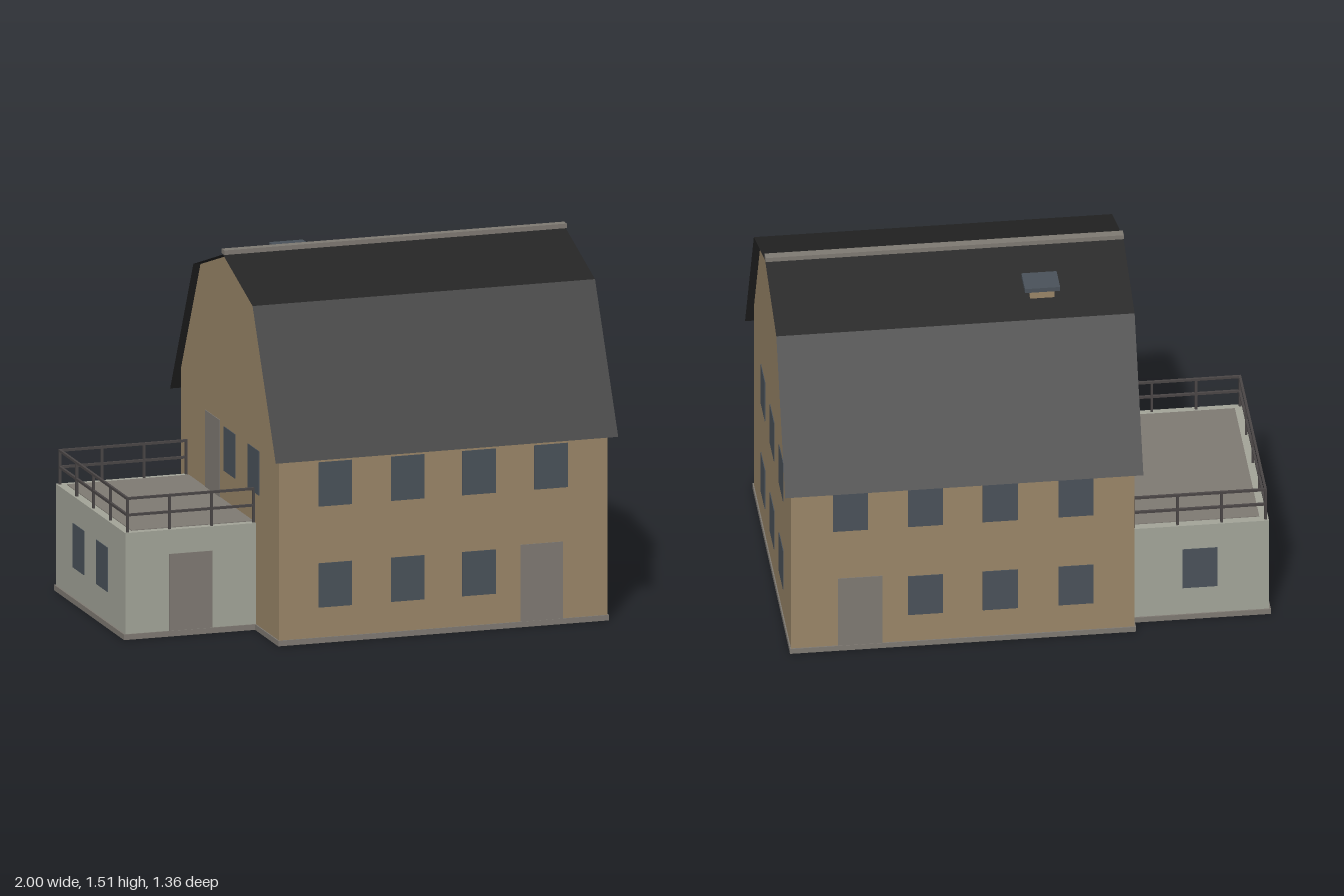
import * as THREE from 'three';

const mat = (name, color, extra = {}) => Object.assign(new THREE.MeshStandardMaterial({ color, ...extra }), { name });

export function createModel() {
  const house = new THREE.Group();
  house.name = 'house';

  const tan = mat('tan wall', 0x9a8668);
  const grey = mat('pale grey wall', 0xa3a599);
  const stone = mat('stone grey', 0x7f7a73);
  const glass = mat('blue grey glass', 0x4a525a);
  const roofing = mat('black roofing', 0x242424, { side: THREE.DoubleSide });
  const iron = mat('dark iron', 0x4a4646);

  const add = (name, geometry, material, parent = house) => {
    const mesh = new THREE.Mesh(geometry, material);
    mesh.name = name;
    parent.add(mesh);
    return mesh;
  };
  // Box given by its limits on each axis
  const box = (name, material, [x0, x1], [y0, y1], [z0, z1], parent) => {
    const mesh = add(name, new THREE.BoxGeometry(x1 - x0, y1 - y0, z1 - z0), material, parent);
    mesh.position.set((x0 + x1) / 2, (y0 + y1) / 2, (z0 + z1) / 2);
    return mesh;
  };
  // Thin plates on walls facing z or x
  const T = 0.003;
  const plateZ = (name, m, x, y, z, w, h) => box(name, m, [x - w / 2, x + w / 2], [y, y + h], [z - T, z + T]);
  const plateX = (name, m, x, y, z, w, h) => box(name, m, [x - T, x + T], [y, y + h], [z - w / 2, z + w / 2]);

  // Main body with gambrel gables
  const X0 = -0.435, X1 = 0.97, Z = 0.632;
  const outline = [[-Z, 0.02], [Z, 0.02], [Z, 0.867], [0.38, 1.362], [0, 1.488], [-0.38, 1.362], [-Z, 0.867]];
  const body = new THREE.ExtrudeGeometry(new THREE.Shape(outline.map(p => new THREE.Vector2(...p))),
    { depth: X1 - X0, bevelEnabled: false });
  body.rotateY(Math.PI / 2).translate(X0, 0, 0);
  add('mainWalls', body, tan);
  box('mainPlinth', stone, [-0.44, 0.975], [0, 0.023], [-0.637, 0.637]);

  // Folded sheet roof, overhanging eaves and gables
  const fold = [[-0.68, 0.775], [-0.381, 1.365], [0, 1.492], [0.381, 1.365], [0.68, 0.775]];
  const sheet = new THREE.PlaneGeometry(1.465, 1, 1, 4);
  const pos = sheet.attributes.position;
  for (let i = 0; i < pos.count; i++) {
    const [z, y] = fold[Math.floor(i / 2)];
    pos.setXYZ(i, pos.getX(i) + 0.2675, y, z);
  }
  const roof = sheet.toNonIndexed();
  roof.computeVertexNormals();
  add('roof', roof, roofing);
  box('ridgeCap', stone, [-0.465, 1], [1.494, 1.513], [-0.018, 0.018]);

  // Chimney with flat cap
  box('chimney', tan, [-0.15, -0.05], [1.38, 1.437], [-0.275, -0.18]);
  box('chimneyCap', glass, [-0.172, -0.028], [1.436, 1.455], [-0.287, -0.165]);

  // Windows and doors of the main house, same on front and back
  const W = 0.143, H = 0.185, LOW = 0.148, HIGH = 0.57;
  for (const z of [-Z, Z]) {
    [-0.195, 0.115, 0.42, 0.728].forEach((x, i) => {
      plateZ('upperWindow', glass, x, HIGH, z, W, H);
      if (i < 3) plateZ('lowerWindow', glass, x, LOW, z, W, H);
    });
    plateZ('houseDoor', stone, 0.688, 0.022, z, 0.182, 0.322);
  }
  for (const z of [-0.308, 0, 0.308])
    for (const y of [LOW, HIGH]) plateX('sideWindow', glass, X1, y, z, W, H);
  for (const z of [0, 0.308]) plateX('terraceWindow', glass, X0, HIGH, z, W, H);
  plateX('terraceDoor', stone, X0, 0.447, -0.22, 0.185, 0.322);

  // Flat-roofed annex
  const A0 = -0.993, B0 = -0.562, B1 = 0.332;
  box('annexWalls', grey, [A0, X0], [0.02, 0.445], [B0, B1]);
  box('annexPlinth', stone, [-1, X0], [0, 0.023], [-0.568, 0.338]);
  box('terraceFloor', stone, [-0.957, X0], [0.443, 0.448], [-0.528, 0.3]);
  plateZ('annexDoor', stone, -0.713, 0.022, B1, 0.185, 0.322);
  plateZ('annexWindow', glass, -0.71, LOW, B0, W, H);
  for (const z of [-0.265, 0.035]) plateX('annexWindow', glass, A0, LOW, z, W, H);

  // Terrace railing on three sides
  const railing = new THREE.Group();
  railing.name = 'railing';
  house.add(railing);
  const rx = -0.98, rz0 = -0.549, rz1 = 0.319, r = 0.005;
  const post = (x, z) => box('railPost', iron, [x - r, x + r], [0.44, 0.588], [z - r, z + r], railing);
  for (const y of [0.517, 0.586]) {
    for (const z of [rz0, rz1])
      box('rail', iron, [rx - r, X0], [y - r, y + r], [z - r, z + r], railing);
    box('rail', iron, [rx - r, rx + r], [y - r, y + r], [rz0, rz1], railing);
  }
  for (const z of [rz0, rz1])
    for (let i = 0; i < 4; i++) post(rx + i * 0.18, z);
  for (let i = 1; i < 4; i++) post(rx, rz0 + (rz1 - rz0) * i / 4);

  return house;
}
